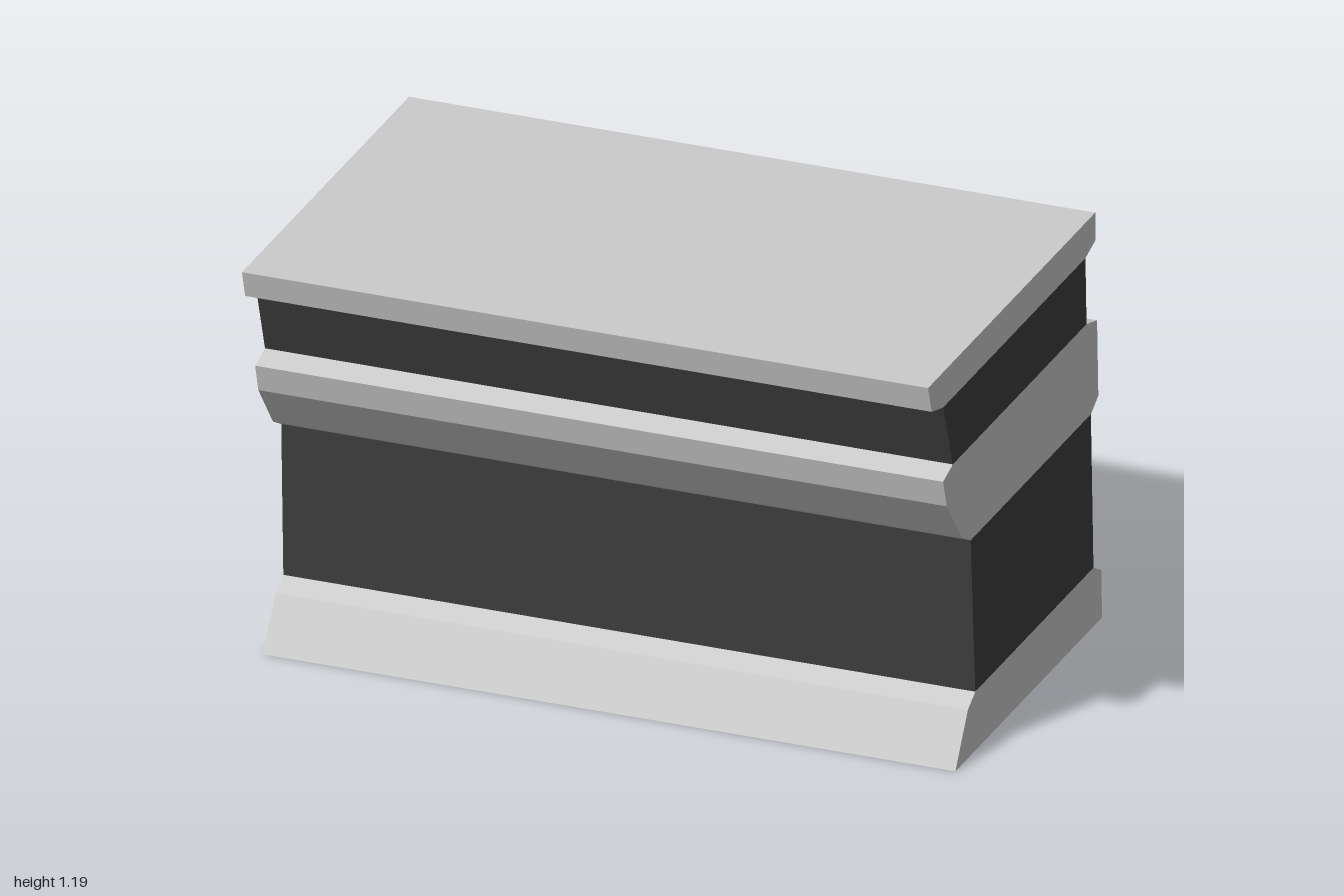
import * as THREE from 'three';

const LENGTH = 2;
const END_LEAN = 0.0165; // the left end leans inward with height

// Each layer is a cross-section of [z, y] points, swept along x.
const layers = [
  { name: 'basePlinth', dark: false, section: [
    [0.455, 0], [0.36, 0.14], [0.305, 0.17], [-0.545, 0.17], [-0.6, 0.14], [-0.6, 0]] },
  { name: 'lowerBand', dark: true, section: [
    [0.305, 0.17], [0.32, 0.622], [-0.545, 0.622], [-0.545, 0.17]] },
  { name: 'middleMoulding', dark: false, section: [
    [0.32, 0.622], [0.38, 0.655], [0.485, 0.793], [0.508, 0.875], [0.437, 0.896],
    [-0.525, 0.896], [-0.6, 0.875], [-0.6, 0.653], [-0.545, 0.622]] },
  { name: 'upperBand', dark: true, section: [
    [0.437, 0.896], [0.498, 1.09], [-0.525, 1.09], [-0.525, 0.896]] },
  { name: 'topSlab', dark: false, section: [
    [0.498, 1.09], [0.58, 1.112], [0.603, 1.192], [-0.6, 1.192], [-0.6, 1.112], [-0.525, 1.09]] },
];

function sweep(section) {
  const shape = new THREE.Shape(section.map(([z, y]) => new THREE.Vector2(-z, y)));
  const geometry = new THREE.ExtrudeGeometry(shape, { depth: LENGTH, bevelEnabled: false });
  geometry.translate(0, 0, -LENGTH / 2);
  geometry.rotateY(Math.PI / 2);

  // Lean the left end
  const p = geometry.attributes.position;
  for (let i = 0; i < p.count; i++) {
    if (p.getX(i) > 0) p.setX(i, LENGTH / 2 - END_LEAN * p.getY(i));
  }
  geometry.computeVertexNormals();
  return geometry;
}

export function createModel() {
  const light = new THREE.MeshStandardMaterial({ color: 0xcccccc, flatShading: true });
  const dark = new THREE.MeshStandardMaterial({ color: 0x3e3e3e, flatShading: true });

  const model = new THREE.Group();
  model.name = 'mouldedPedestal';
  for (const layer of layers) {
    const mesh = new THREE.Mesh(sweep(layer.section), layer.dark ? dark : light);
    mesh.name = layer.name;
    model.add(mesh);
  }
  return model;
}
